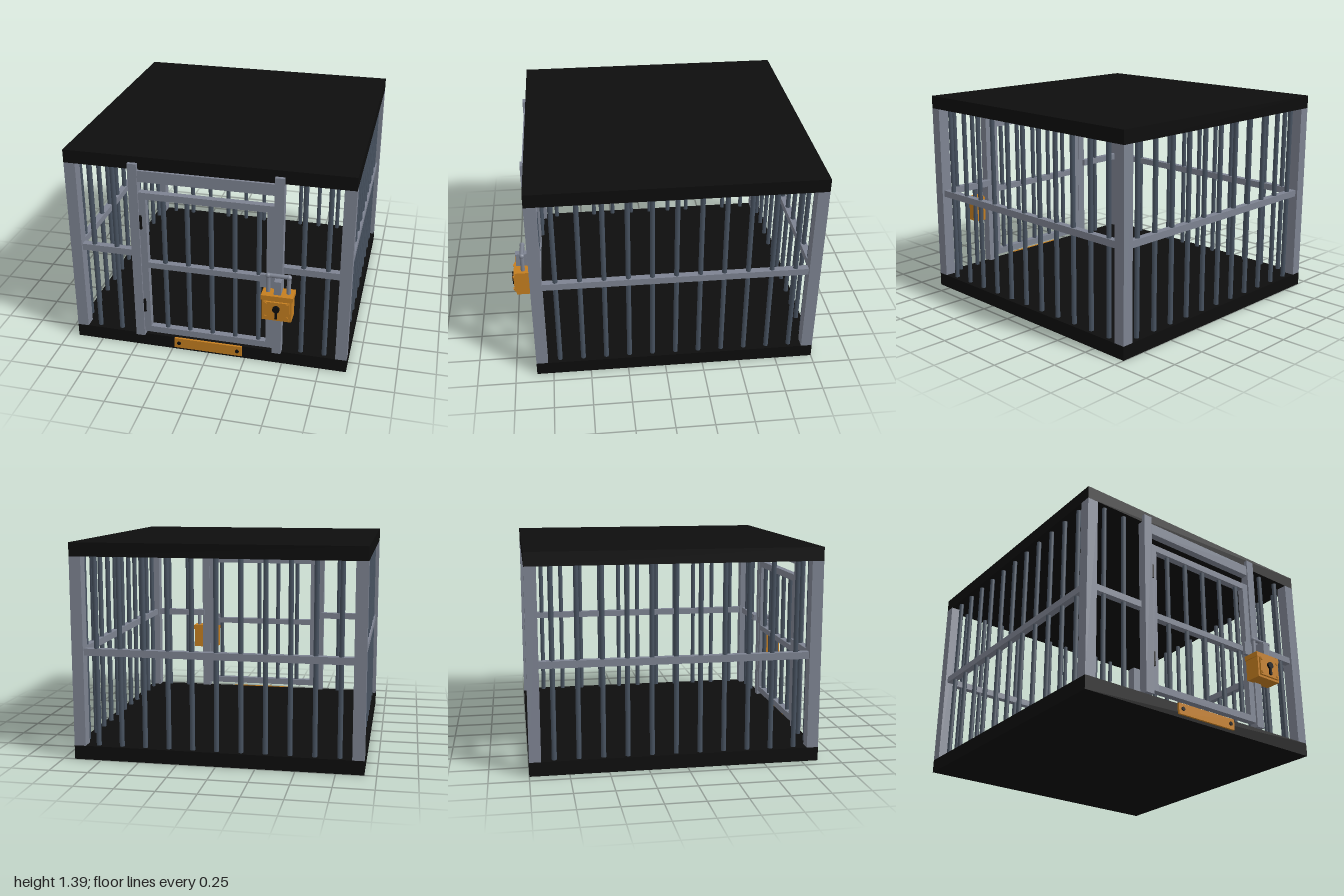
import * as THREE from 'three';

const mat = (name, color) => {
  const m = new THREE.MeshStandardMaterial({ color });
  m.name = name;
  return m;
};

export function createModel() {
  const black = mat('black', 0x0d0d0d);
  const steel = mat('steel grey', 0x7d8391);
  const iron = mat('dark iron', 0x475260);
  const brass = mat('brass', 0xc47e20);

  const model = new THREE.Group();
  model.name = 'cage';
  const group = (name) => {
    const g = new THREE.Group();
    g.name = name;
    model.add(g);
    return g;
  };
  const add = (parent, name, geometry, material) => {
    const m = new THREE.Mesh(geometry, material);
    m.name = name;
    parent.add(m);
    return m;
  };
  // Box given by its lower and upper limits on each axis
  const box = (parent, name, material, [x0, x1], [y0, y1], [z0, z1]) =>
    add(parent, name, new THREE.BoxGeometry(x1 - x0, y1 - y0, z1 - z0), material)
      .position.set((x0 + x1) / 2, (y0 + y1) / 2, (z0 + z1) / 2);
  // Upright bar
  const barGeometry = (h) => new THREE.CylinderGeometry(0.016, 0.016, h, 10);
  const bar = (parent, name, x, z, y0, y1) =>
    add(parent, name, barGeometry(y1 - y0), iron).position.set(x, (y0 + y1) / 2, z);
  // Disc facing the front
  const disc = (parent, name, material, x, y, z, r, depth) => {
    const d = add(parent, name, new THREE.CylinderGeometry(r, r, depth, 16), material);
    d.rotation.x = Math.PI / 2;
    d.position.set(x, y, z);
  };

  const W = 0.925, BACK = -1, FRONT = 0.86, FLOOR = 0.09, CEIL = 1.305;
  const midZ = (BACK + FRONT) / 2, step = 0.1545, post = 0.075;
  const frontZ = FRONT - post / 2, backZ = BACK + post / 2, sideX = W - post / 2;

  // Floor and roof slabs
  box(model, 'floor', black, [-W, W], [0, FLOOR], [BACK, FRONT]);
  box(model, 'roof', black, [-W, W], [CEIL, 1.392], [BACK, FRONT]);

  // Corner posts
  const posts = group('cornerPosts');
  for (const x of [-sideX, sideX])
    for (const z of [backZ, frontZ])
      box(posts, 'cornerPost', steel, [x - post / 2, x + post / 2], [FLOOR, CEIL], [z - post / 2, z + post / 2]);

  // Upright bars on all four sides, leaving the doorway open
  const bars = group('wallBars');
  for (let i = -5; i <= 5; i++) {
    for (const s of [-1, 1]) bar(bars, 'sideBar', s * sideX, midZ + i * step, FLOOR, CEIL);
    bar(bars, 'backBar', i * step, backZ, FLOOR, CEIL);
    if (Math.abs(i) > 3) bar(bars, 'frontBar', i * step, frontZ, FLOOR, CEIL);
  }

  // Middle rails
  const rails = group('middleRails');
  const railY = [0.677, 0.722], inner = W - post, r = 0.0225;
  box(rails, 'backRail', steel, [-inner, inner], railY, [backZ - r, backZ + r]);
  for (const s of [-1, 1]) {
    box(rails, 'sideRail', steel, [s * sideX - r, s * sideX + r], railY, [BACK + post, FRONT - post]);
    const xs = [s * 0.48, s * inner].sort((a, b) => a - b);
    box(rails, 'frontRail', steel, xs, railY, [frontZ - r, frontZ + r]);
  }

  // Door surround
  const surround = group('doorSurround');
  for (const s of [-1, 1])
    box(surround, 'doorPost', steel, [s * 0.465 - 0.03, s * 0.465 + 0.03], [FLOOR, 1.35], [0.825, 0.885]);
  box(surround, 'lintel', steel, [-0.435, 0.435], [1.23, CEIL], [0.83, 0.878]);

  // Door leaf
  const door = group('door');
  const doorZ = [0.828, 0.873];
  for (const s of [-1, 1])
    box(door, 'doorStile', steel, [s * 0.4125 - 0.0225, s * 0.4125 + 0.0225], [0.12, 1.155], doorZ);
  for (const y of [0.142, 1.132])
    box(door, 'doorRail', steel, [-0.39, 0.39], [y - 0.0225, y + 0.0225], doorZ);
  box(door, 'doorMiddleRail', steel, [-0.39, 0.39], [0.617, 0.657], doorZ);
  for (let i = -2; i <= 2; i++) bar(door, 'doorBar', 0.029 + i * step, 0.85, 0.16, 1.12);
  for (const y of [0.328, 0.948])
    box(door, 'hinge', black, [-0.433, -0.418], [y - 0.048, y + 0.048], [0.86, 0.882]);

  // Hasp and staple
  const hasp = group('hasp');
  box(hasp, 'haspPlate', steel, [0.355, 0.495], [0.59, 0.682], [0.87, 0.893]);
  box(hasp, 'staple', steel, [0.457, 0.502], [0.59, 0.682], [0.89, 0.965]);
  box(hasp, 'haspSlot', black, [0.449, 0.457], [0.612, 0.656], [0.89, 0.897]);

  // Padlock body
  const lock = group('padlock');
  const lx = 0.478, ly = 0.485, sz = 0.92;
  box(lock, 'lockBody', brass, [lx - 0.095, lx + 0.095], [0.405, 0.555], [0.867, 0.973]);
  box(lock, 'lockCap', brass, [lx - 0.102, lx + 0.102], [0.55, 0.583], [0.864, 0.976]);
  box(lock, 'lockFace', brass, [lx - 0.082, lx + 0.082], [0.42, 0.545], [0.973, 0.986]);
  for (const sx of [-1, 1])
    for (const sy of [-1, 1])
      disc(lock, 'lockRivet', brass, lx + sx * 0.069, ly + sy * 0.047, 0.988, 0.01, 0.008);
  disc(lock, 'keyholeTop', black, lx, 0.5, 0.992, 0.023, 0.016);
  box(lock, 'keyholeSlot', black, [lx - 0.008, lx + 0.008], [0.432, 0.5], [0.985, 0.999]);

  // Square-cornered shackle
  for (const s of [-1, 1]) {
    const x = lx + s * 0.066;
    add(lock, 'shackleLeg', new THREE.CylinderGeometry(0.014, 0.014, 0.13, 12), steel).position.set(x, 0.635, sz);
    add(lock, 'shackleCorner', new THREE.SphereGeometry(0.018, 12, 8), steel).position.set(x, 0.698, sz);
  }
  const top = add(lock, 'shackleTop', new THREE.CylinderGeometry(0.014, 0.014, 0.132, 12), steel);
  top.rotation.z = Math.PI / 2;
  top.position.set(lx, 0.7, sz);

  // Blank plate on the floor edge
  const plate = group('floorPlate');
  box(plate, 'plate', brass, [-0.232, 0.232], [0.02, 0.092], [0.858, 0.874]);
  for (const s of [-1, 1]) disc(plate, 'plateScrew', black, s * 0.2, 0.056, 0.876, 0.013, 0.008);

  return model;
}
